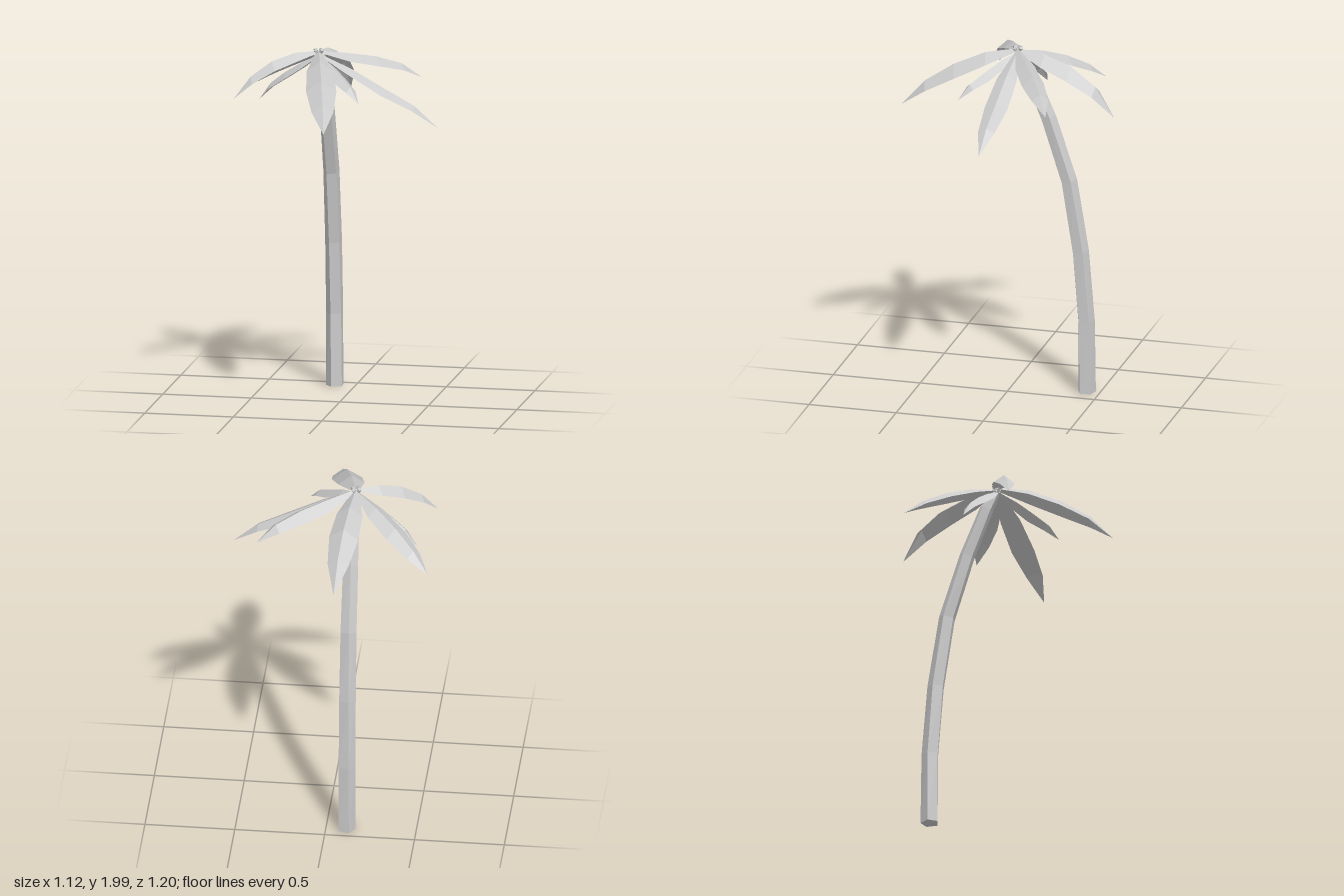
import * as THREE from 'three';

const trunkMat = new THREE.MeshStandardMaterial({ color: 0xcccccc, flatShading: true });
const leafMat = new THREE.MeshStandardMaterial({ color: 0xcccccc, flatShading: true, side: THREE.DoubleSide });

const CROWN = new THREE.Vector3(-0.125, 1.98, -0.025);

// Five-sided trunk: a cylinder whose rings follow a bending centre line
function makeTrunk() {
  // y, z, radius of each ring
  const rings = [
    [0.005, -0.424, 0.052], [0.42, -0.42, 0.05], [0.83, -0.387, 0.049], [1.24, -0.322, 0.047],
    [1.6, -0.205, 0.044], [1.87, -0.092, 0.04], [1.96, -0.035, 0.022],
  ];
  const last = rings.length - 1;
  const geo = new THREE.CylinderGeometry(1, 1, 1, 5, last);
  const pos = geo.attributes.position;
  for (let i = 0; i < pos.count; i++) {
    const k = Math.round((pos.getY(i) + 0.5) * last);
    const [y, z, r] = rings[k];
    const a = rings[Math.max(k - 1, 0)], b = rings[Math.min(k + 1, last)];
    const lean = k === 0 ? 0 : Math.atan2(b[1] - a[1], b[0] - a[0]);
    const twist = 0.25 + k * 0.06;
    const px = pos.getX(i) * r, pz = pos.getZ(i) * r;
    const x = px * Math.cos(twist) - pz * Math.sin(twist);
    const d = px * Math.sin(twist) + pz * Math.cos(twist);
    pos.setXYZ(i, -0.113 + x, y - d * Math.sin(lean), z + d * Math.cos(lean));
  }
  geo.computeVertexNormals();
  return new THREE.Mesh(geo, trunkMat);
}

// Folded frond: a ridge line with two side edges hanging below it
const STEPS = [0, 0.28, 0.55, 0.8, 1];
const WIDTHS = [0.2, 0.88, 1, 0.72, 0];
function makeFrond({ tip, heights, width, fold }) {
  const [tx, tz] = tip;
  const dx = tx - CROWN.x, dz = tz - CROWN.z, len = Math.hypot(dx, dz);
  const sx = -dz / len, sz = dx / len;
  const verts = [], index = [];
  STEPS.forEach((t, i) => {
    const x = CROWN.x + dx * t, z = CROWN.z + dz * t, w = width * WIDTHS[i];
    const drop = fold * WIDTHS[i];
    for (const s of [-1, 0, 1]) {
      verts.push(x + sx * w * s, heights[i] - drop * Math.abs(s), z + sz * w * s);
    }
    if (i === 0) return;
    const a = (i - 1) * 3, b = i * 3;
    for (let j = 0; j < 2; j++) {
      index.push(a + j, a + j + 1, b + j + 1);
      if (i < STEPS.length - 1 || j >= 0) index.push(a + j, b + j + 1, b + j);
    }
  });
  const geo = new THREE.BufferGeometry();
  geo.setAttribute('position', new THREE.Float32BufferAttribute(verts, 3));
  geo.setIndex(index);
  geo.computeVertexNormals();
  return new THREE.Mesh(geo, leafMat);
}

const FRONDS = [
  { name: 'leftFrond', tip: [0.56, 0.01], heights: [1.97, 1.89, 1.79, 1.7, 1.58], width: 0.066, fold: 0.03 },
  { name: 'backLeftFrond', tip: [0.4, -0.33], heights: [1.985, 1.96, 1.93, 1.88, 1.79], width: 0.064, fold: 0.045 },
  { name: 'backFrond', tip: [-0.06, -0.6], heights: [1.985, 1.97, 1.92, 1.82, 1.65], width: 0.082, fold: 0.06 },
  { name: 'backRightFrond', tip: [-0.565, -0.415], heights: [1.975, 1.94, 1.88, 1.8, 1.7], width: 0.066, fold: 0.045 },
  { name: 'lowerRightFrond', tip: [-0.475, -0.1], heights: [1.96, 1.91, 1.85, 1.78, 1.68], width: 0.048, fold: 0.04 },
  { name: 'frontRightFrond', tip: [-0.56, 0.2], heights: [1.985, 1.98, 1.94, 1.86, 1.74], width: 0.056, fold: 0.045 },
  { name: 'frontFrond', tip: [0.03, 0.6], heights: [1.985, 1.96, 1.89, 1.79, 1.65], width: 0.084, fold: 0.06 },
  { name: 'lowerFrontLeftFrond', tip: [0.155, 0.24], heights: [1.965, 1.93, 1.88, 1.83, 1.75], width: 0.046, fold: 0.035 },
];

export function createModel() {
  const model = new THREE.Group();
  model.name = 'palmTree';

  const trunk = makeTrunk();
  trunk.name = 'trunk';
  model.add(trunk);

  const crown = new THREE.Group();
  crown.name = 'crown';
  for (const spec of FRONDS) {
    const frond = makeFrond(spec);
    frond.name = spec.name;
    crown.add(frond);
  }

  // Short leaf stubs at the heart of the crown
  for (let i = 0; i < 4; i++) {
    const stub = new THREE.Mesh(new THREE.CylinderGeometry(0.012, 0.008, 0.045, 4), trunkMat);
    const a = i * Math.PI / 2 + 0.5;
    stub.position.set(CROWN.x + Math.cos(a) * 0.014, 1.973, CROWN.z + Math.sin(a) * 0.014);
    stub.rotation.set(Math.sin(a) * 0.5, 0, -Math.cos(a) * 0.5);
    stub.name = 'leafStub';
    crown.add(stub);
  }
  model.add(crown);
  return model;
}
